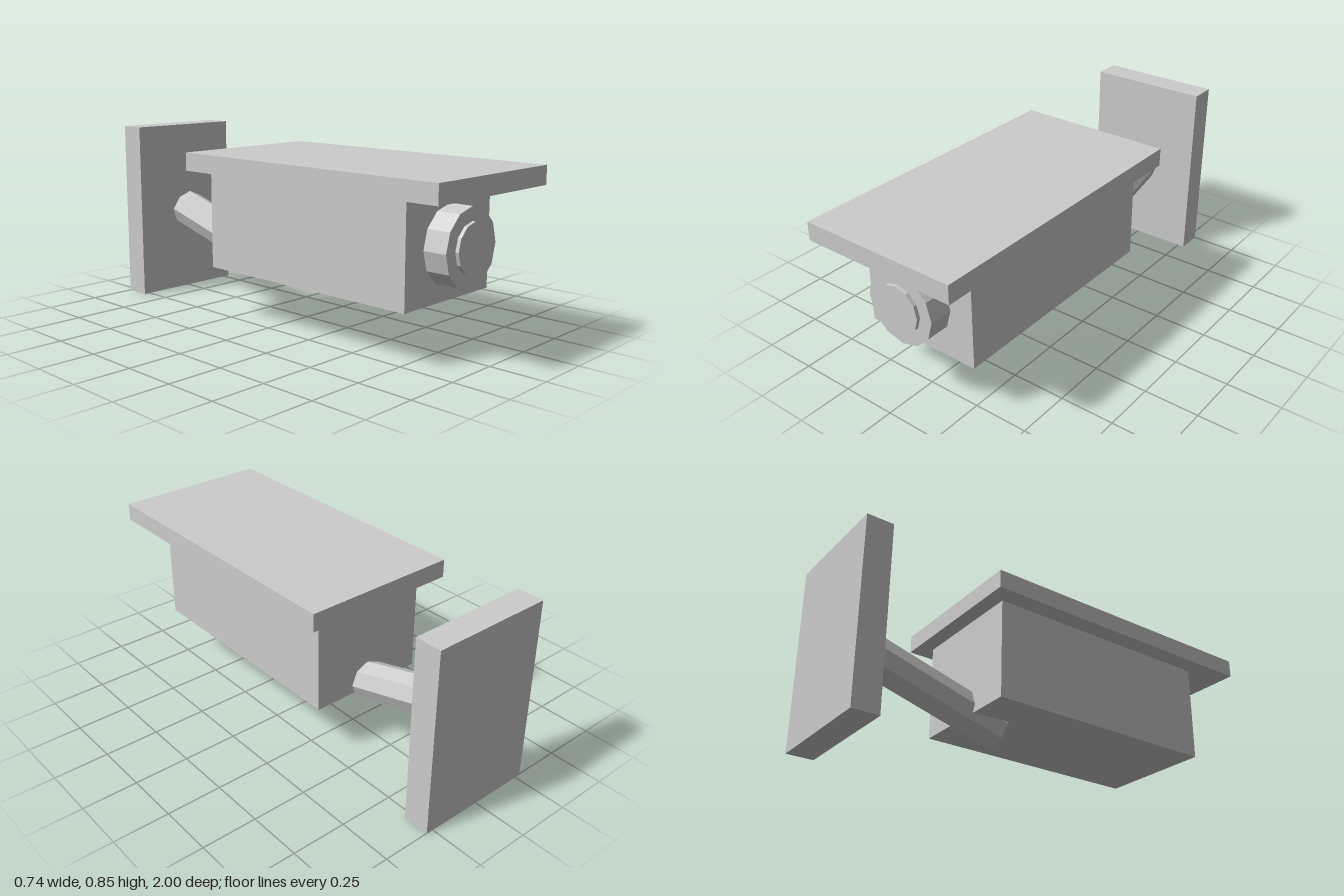
import * as THREE from 'three';

export function createModel() {
  const model = new THREE.Group();
  model.name = 'securityCamera';
  const grey = new THREE.MeshStandardMaterial({ color: 0xcccccc, flatShading: true });
  grey.name = 'plain grey';

  const add = (name, geometry) => {
    const mesh = new THREE.Mesh(geometry, grey);
    mesh.name = name;
    model.add(mesh);
    return mesh;
  };

  // Box centred on x, given its y and z extents
  const box = (name, width, y0, y1, z0, z1) =>
    add(name, new THREE.BoxGeometry(width, y1 - y0, z1 - z0))
      .position.set(0, (y0 + y1) / 2, (z0 + z1) / 2);

  // Faceted cylinder running from one point to another in the x = 0 plane
  const rod = (name, radius, sides, from, to) => {
    const dir = to.clone().sub(from);
    const mesh = add(name, new THREE.CylinderGeometry(radius, radius, dir.length(), sides));
    mesh.position.copy(from).add(to).multiplyScalar(0.5);
    mesh.rotation.x = Math.atan2(dir.z, dir.y);
  };
  const at = (y, z) => new THREE.Vector3(0, y, z);

  // Housing with its overhanging sun shield
  box('housing', 0.562, 0.23, 0.683, -0.338, 0.79);
  box('sunShield', 0.736, 0.683, 0.766, -0.41, 1);

  // Lens barrel and the smaller glass in front of it
  rod('lensBarrel', 0.169, 12, at(0.46, 0.75), at(0.46, 0.897));
  rod('lensGlass', 0.109, 12, at(0.46, 0.85), at(0.46, 0.913));

  // Sloping arm and wall plate
  rod('mountArm', 0.089, 8, at(0.219, -0.163), at(0.418, -0.869));
  box('wallPlate', 0.563, 0, 0.847, -1, -0.878);

  return model;
}
